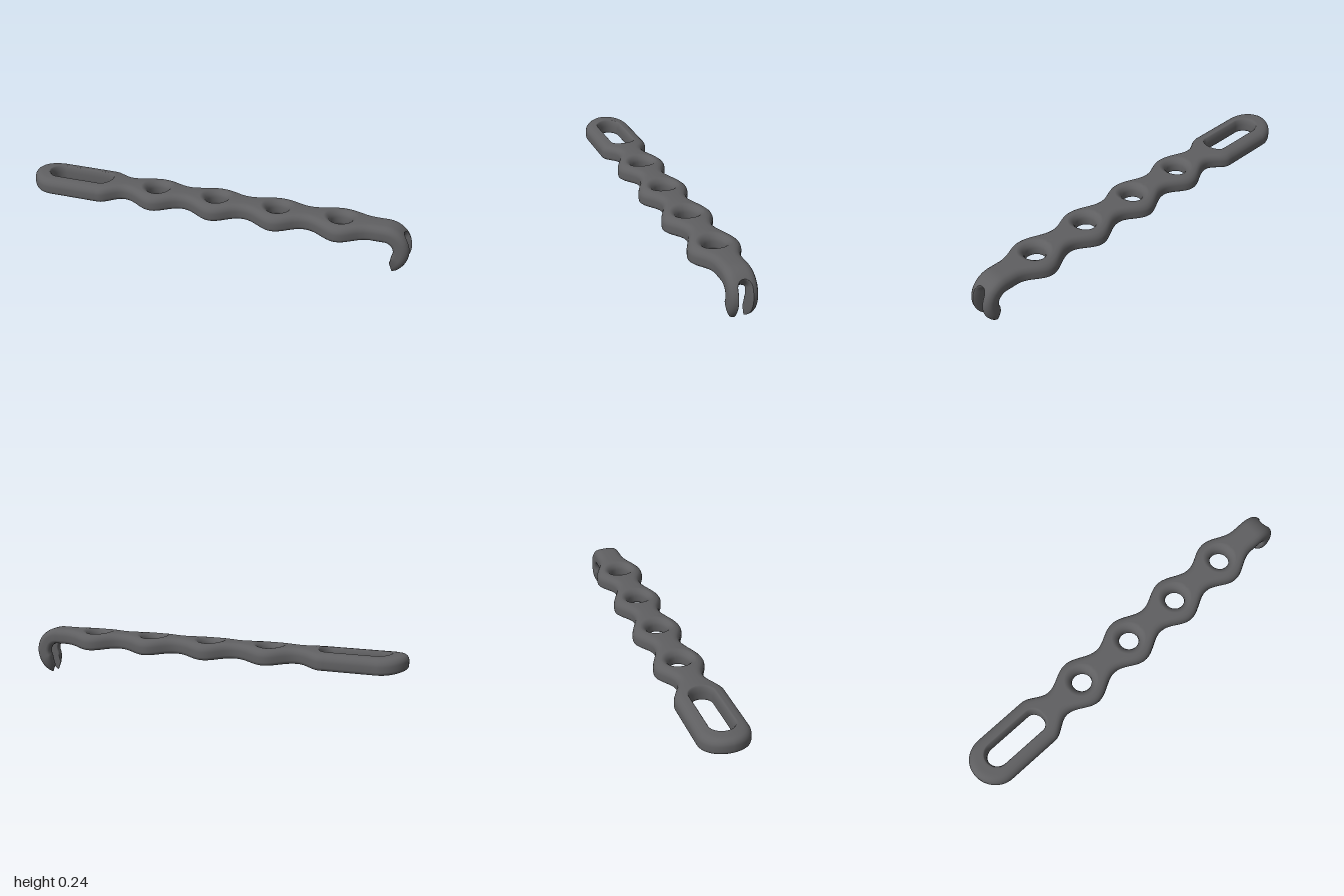
import * as THREE from 'three';
import { mergeVertices } from 'three/addons/utils/BufferGeometryUtils.js';

const THICK = 0.075;
const HOLES = [-0.31, 0.01, 0.33, 0.65];
const TIP = 1.159; // end of the hook, measured along the unbent plate
const TAPER = 0.075;

// Rounded outer edge, bottom to top: [inset, height]
const EDGE = [[0.02, 0], [0.009, 0.003], [0.002, 0.01], [0, 0.02], [0, 0.045],
  [0.003, 0.057], [0.01, 0.067], [0.02, 0.073], [0.033, THICK]];
// Hole wall with countersink, top to bottom: [flare, height]
const WALL = [[0.032, THICK], [0.024, 0.0725], [0.015, 0.066], [0.006, 0.055], [0, 0.04],
  [0, 0.012], [0.002, 0.004], [0.008, 0]];

// Half width of the scalloped outline
function halfWidth(s) {
  if (s < -0.6) return 0.125;
  if (s < -0.47) return 0.0975 + 0.0275 * Math.cos(Math.PI * (s + 0.6) / 0.13);
  if (s < 0.81) return 0.0975 + 0.0275 * Math.cos(2 * Math.PI * (s + 0.31) / 0.32);
  return 0.069;
}

// How far along the tapering tip: 0 before it, 1 at the point
const tipAmount = (s) => Math.max(0, (s - TIP + TAPER) / TAPER);

function side(s) {
  const e = Math.sqrt(Math.max(0, 1 - tipAmount(s) ** 2));
  return (d) => [s, e < 1 ? 0.027 + (0.042 - d) * e : halfWidth(s) - d];
}

// Each column pairs an inner outline point (by flare) with an outer one (by inset)
function makeColumns() {
  const cols = [];
  const add = (inner, outer) => cols.push({ inner, outer });
  const solid = (...list) => list.forEach((s) => add(() => [s, 0], side(s)));
  const arc = (n, fn) => { for (let i = 0; i <= n; i++) fn(i / n); };

  // Rounded end with the long slot
  arc(14, (k) => {
    const a = k * Math.PI / 2, c = Math.cos(a), h = Math.sin(a);
    add((f) => [-0.855 - (0.055 + f * 0.4) * c, (0.055 + f * 0.4) * h],
      (d) => [-0.875 - (0.125 - d) * c, (0.125 - d) * h]);
  });
  for (const s of [-0.8, -0.75, -0.7, -0.65]) add((f) => [s, 0.055 + f * 0.4], side(s));
  arc(10, (k) => {
    const a = k * Math.PI / 2;
    add((f) => [-0.615 + (0.042 + f * 0.4) * Math.sin(a), (0.055 + f * 0.4) * Math.cos(a)],
      side(-0.615 + 0.07 * k));
  });
  solid(-0.53, -0.51, -0.49);

  // Round countersunk holes and the necks between them
  for (const c of HOLES) {
    solid(c - 0.16, c - 0.14, c - 0.125);
    arc(28, (k) => {
      const a = k * Math.PI;
      add((f) => [c - (0.05 + f) * Math.cos(a), (0.05 + f) * Math.sin(a)], side(c - 0.11 + 0.22 * k));
    });
    solid(c + 0.125, c + 0.14);
  }

  // Shank and bend, then the forked hook
  solid(0.81, 0.835, 0.86, 0.88, 0.89, 0.9, 0.91, 0.92, 0.93, 0.94, 0.95);
  arc(10, (k) => {
    const a = k * Math.PI / 2;
    add((f) => [0.991 - (0.027 + f * 0.25) * Math.cos(a), (0.027 + f * 0.25) * Math.sin(a)],
      side(0.96 + 0.031 * k));
  });
  const prong = (s) => {
    const e = Math.sqrt(Math.max(0, 1 - tipAmount(s) ** 2));
    add((f) => [s, 0.027 + f * 0.25 * e], side(s));
  };
  for (let i = 1; i <= 9; i++) prong(0.991 + (TIP - TAPER - 0.991) * i / 9);
  arc(12, (k) => { if (k > 0) prong(TIP - TAPER + TAPER * Math.sin(k * Math.PI / 2)); });
  return cols;
}

// Arch the plate across its width and curl its end into the hook
function bend(s, z, t) {
  const q = tipAmount(s);
  const h = THICK - (THICK - t) * (1 - 0.4 * q * q) - 1.1 * z * z + 0.004 * q;
  if (s <= 0.88) return [s === 0.88 ? 0.877 : s > 0.81 ? s - 0.003 * (s - 0.81) / 0.07 : s, 0.168 + h, z];
  const phi = (s - 0.88) / 0.1, r = 0.048 + h;
  return [0.877 + r * Math.sin(phi), 0.12 + r * Math.cos(phi), z];
}

function section(col) {
  const inner = WALL.map(([f, t]) => [...col.inner(f), t]);
  const outer = EDGE.map(([d, t]) => [...col.outer(d), t]);
  const between = (a, b) => [0.25, 0.5, 0.75].map((k) => a.map((v, i) => v + (b[i] - v) * k));
  return [...inner, ...between(inner[inner.length - 1], outer[0]),
    ...outer, ...between(outer[outer.length - 1], inner[0])];
}

function plateGeometry() {
  const rings = makeColumns().map(section);
  const rows = rings[0].length;
  const positions = [], index = [];
  for (const mirror of [1, -1]) {
    const base = positions.length / 3;
    for (const ring of rings) {
      for (const [s, z, t] of ring) {
        positions.push(...bend(s, Math.abs(z) < 1e-7 ? 0 : z * mirror, t));
      }
    }
    for (let i = 0; i < rings.length - 1; i++) {
      for (let j = 0; j < rows; j++) {
        const k = (j + 1) % rows;
        // Leave out walls lying inside the solid, on the centre plane
        const flat = [rings[i][j], rings[i + 1][j], rings[i][k], rings[i + 1][k]];
        if (flat.every((p) => Math.abs(p[1]) < 1e-7)) continue;
        const a = base + i * rows + j, b = a + rows;
        const d = base + i * rows + k, c = d + rows;
        if (mirror > 0) index.push(a, b, c, a, c, d);
        else index.push(a, c, b, a, d, c);
      }
    }
  }
  let geometry = new THREE.BufferGeometry();
  geometry.setAttribute('position', new THREE.Float32BufferAttribute(positions, 3));
  geometry.setIndex(index);
  geometry = mergeVertices(geometry, 1e-5);
  geometry.computeVertexNormals();
  return geometry;
}

export function createModel() {
  const group = new THREE.Group();
  group.name = 'hookPlate';
  const metal = new THREE.MeshStandardMaterial({ color: 0x5f5f61 });
  metal.name = 'dark grey metal';
  const plate = new THREE.Mesh(plateGeometry(), metal);
  plate.name = 'plateWithForkedHook';
  group.add(plate);
  return group;
}
